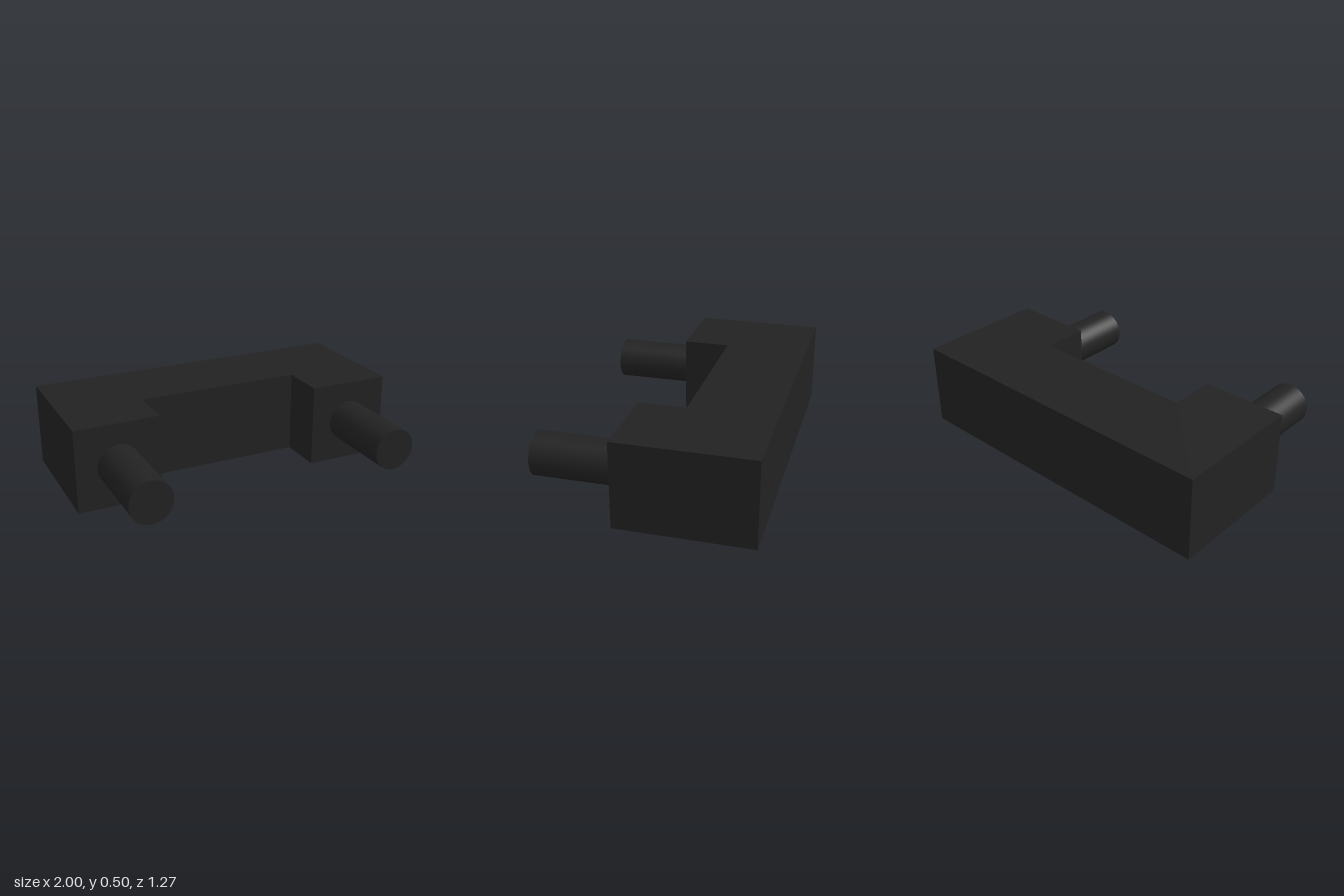
import * as THREE from 'three';

export function createModel() {
  const model = new THREE.Group();
  const material = new THREE.MeshStandardMaterial({ color: 0x222222 });
  const height = 0.5, back = -0.6375, notch = -0.1375, face = 0.1375, tip = 0.6375;

  // U-shaped body: plan outline as [x, z], extruded upwards
  const outline = [
    [-1, face], [-0.5, face], [-0.5, notch], [0.5, notch],
    [0.5, face], [1, face], [1, back], [-1, back],
  ];
  const shape = new THREE.Shape(outline.map(([x, z]) => new THREE.Vector2(x, -z)));
  const bodyGeometry = new THREE.ExtrudeGeometry(shape, { depth: height, bevelEnabled: false });
  bodyGeometry.rotateX(-Math.PI / 2);
  const body = new THREE.Mesh(bodyGeometry, material);
  body.name = 'body';
  model.add(body);

  // Round pins standing out of the two front faces
  const pinGeometry = new THREE.CylinderGeometry(0.125, 0.125, tip - face, 48);
  pinGeometry.rotateX(Math.PI / 2);
  for (const [name, side] of [['leftPin', 1], ['rightPin', -1]]) {
    const pin = new THREE.Mesh(pinGeometry, material);
    pin.name = name;
    pin.position.set(side * 0.75, height / 2, (tip + face) / 2);
    model.add(pin);
  }

  return model;
}
